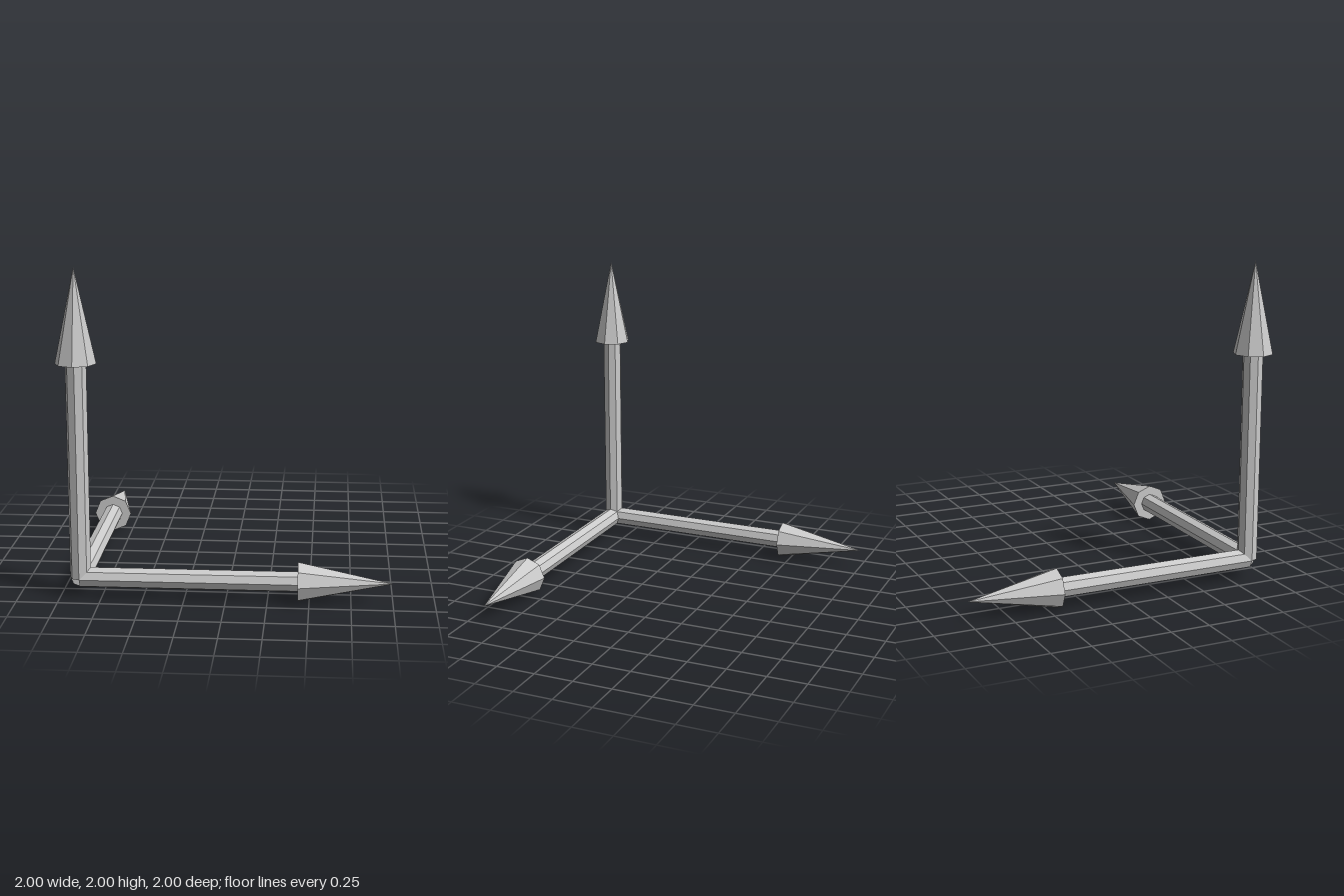
import * as THREE from 'three';

const SIDES = 8;
const LENGTH = 1.877;
const HEAD_LENGTH = 0.567;
const HEAD_RADIUS = 0.123;
const SHAFT_RADIUS = 0.063;

const material = new THREE.MeshStandardMaterial({ color: 0xcccccc, flatShading: true });

// One arrow pointing up +y from its own origin
function makeArrow(name) {
  const arrow = new THREE.Group();
  arrow.name = name;
  const shaftLength = LENGTH - HEAD_LENGTH;

  const shaft = new THREE.Mesh(
    new THREE.CylinderGeometry(SHAFT_RADIUS, SHAFT_RADIUS, shaftLength, SIDES), material);
  shaft.name = 'shaft';
  shaft.position.y = shaftLength / 2;

  const head = new THREE.Mesh(
    new THREE.ConeGeometry(HEAD_RADIUS, HEAD_LENGTH, SIDES), material);
  head.name = 'arrowhead';
  head.position.y = shaftLength + HEAD_LENGTH / 2;

  arrow.add(shaft, head);
  return arrow;
}

export function createModel() {
  const model = new THREE.Group();
  model.name = 'axisArrows';

  // Three arrows sharing one corner: up, to +x and to -z
  const up = makeArrow('upArrow');
  const side = makeArrow('sideArrow');
  side.rotation.z = -Math.PI / 2;
  const back = makeArrow('backArrow');
  back.rotation.x = -Math.PI / 2;

  for (const arrow of [up, side, back]) {
    arrow.position.set(HEAD_RADIUS - 1, HEAD_RADIUS, 1 - HEAD_RADIUS);
    model.add(arrow);
  }
  return model;
}
